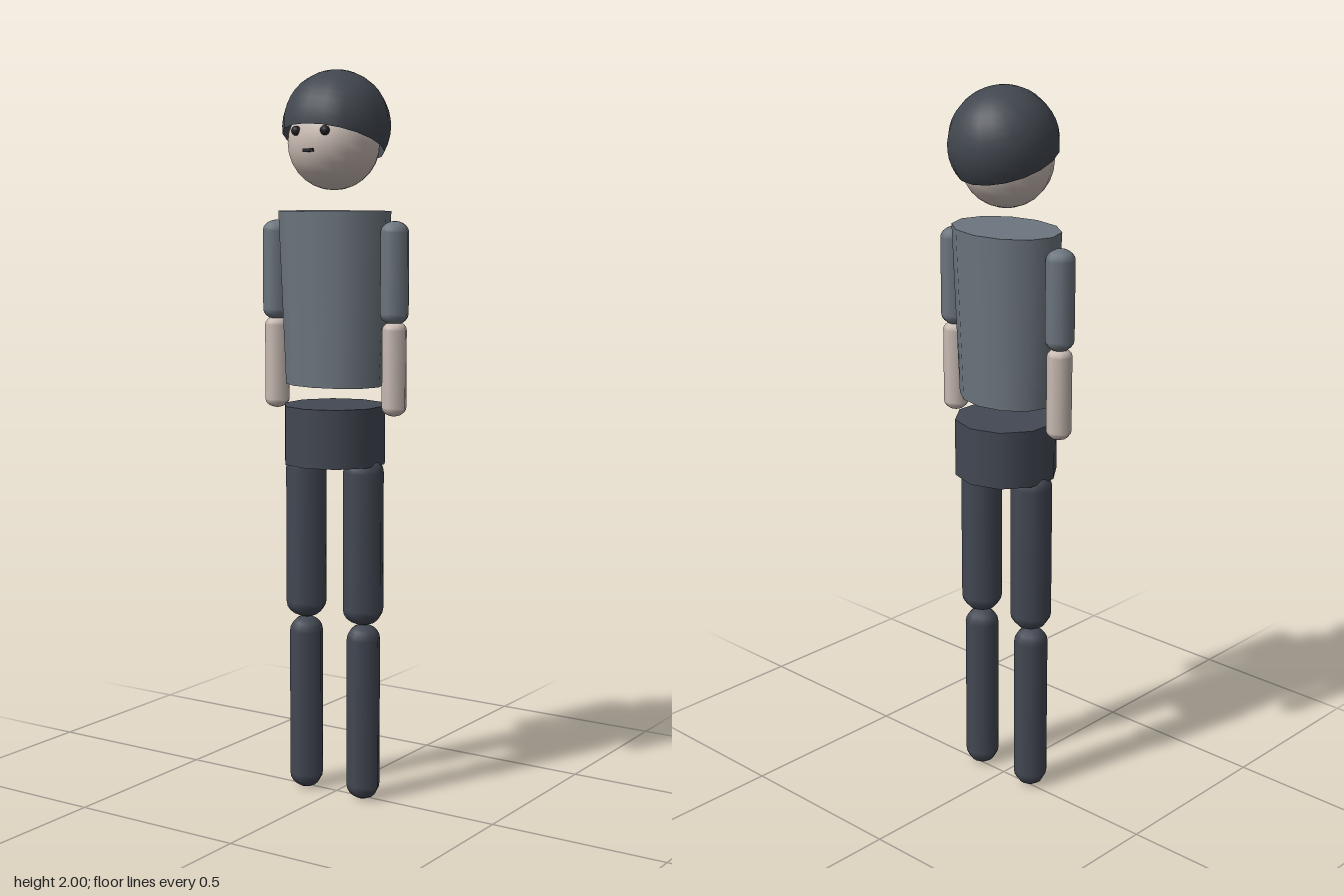
import * as THREE from 'three';

const material = (name, color, side = THREE.FrontSide) => {
  const m = new THREE.MeshStandardMaterial({ color, side });
  m.name = name;
  return m;
};

export function createModel() {
  const group = new THREE.Group();
  const shirt = material('shirt grey', 0x6c757e);
  const trousers = material('trouser grey', 0x434853);
  const hair = material('hair grey', 0x42474f, THREE.DoubleSide);
  const skin = material('skin', 0xc9bbb3);
  const dark = material('dark feature', 0x24242a);
  const bodyZ = 0.01;

  const add = (name, geometry, mat, x, y, z) => {
    const mesh = new THREE.Mesh(geometry, mat);
    mesh.name = name;
    mesh.position.set(x, y, z);
    group.add(mesh);
    return mesh;
  };

  // Round-ended limb standing between two heights
  const limb = (radius, bottom, top, cap) => {
    const points = [];
    const steps = 5;
    for (let i = 0; i <= steps; i++) {
      const a = (i / steps) * Math.PI / 2;
      points.push(new THREE.Vector2(radius * Math.sin(a), bottom + cap * (1 - Math.cos(a))));
    }
    for (let i = steps; i >= 0; i--) {
      const a = (i / steps) * Math.PI / 2;
      points.push(new THREE.Vector2(radius * Math.sin(a), top - cap * (1 - Math.cos(a))));
    }
    return new THREE.LatheGeometry(points, 8);
  };

  // Head and tilted hair cap
  add('head', new THREE.SphereGeometry(0.125, 18, 14), skin, 0, 1.805, 0.012);
  const cap = new THREE.SphereGeometry(0.15, 18, 12, 0, Math.PI * 2, 0, Math.PI * 0.6);
  cap.rotateY(Math.PI / 2);
  const hairCap = add('hair', cap, hair, 0, 1.85, 0);
  hairCap.scale.x = 0.965;
  hairCap.rotation.x = -0.34;

  // Mouth
  add('mouth', new THREE.BoxGeometry(0.032, 0.009, 0.009), dark, 0, 1.785, 0.134);

  // Torso, tapering to the waist, and hips
  const torso = add('torso', new THREE.CylinderGeometry(0.164, 0.143, 0.47, 12), shirt, 0, 1.39, bodyZ);
  torso.scale.z = 0.75;
  add('hips', new THREE.CylinderGeometry(0.142, 0.142, 0.16, 10), trousers, 0, 1.02, bodyZ);

  // Mirrored eyes, arms and legs
  for (const [side, s] of [['left', 1], ['right', -1]]) {
    add(side + 'Eye', new THREE.SphereGeometry(0.013, 10, 8), dark, s * 0.046, 1.836, 0.125);
    add(side + 'UpperArm', limb(0.039, 1.325, 1.6, 0.03), shirt, s * 0.191, 0, bodyZ);
    add(side + 'Forearm', limb(0.034, 1.08, 1.335, 0.024), skin, s * 0.191, 0, bodyZ);
    add(side + 'Thigh', limb(0.057, 0.495, 0.965, 0.045), trousers, s * 0.094, 0, bodyZ);
    add(side + 'Shin', limb(0.047, 0, 0.497, 0.042), trousers, s * 0.095, 0, bodyZ);
  }
  return group;
}
